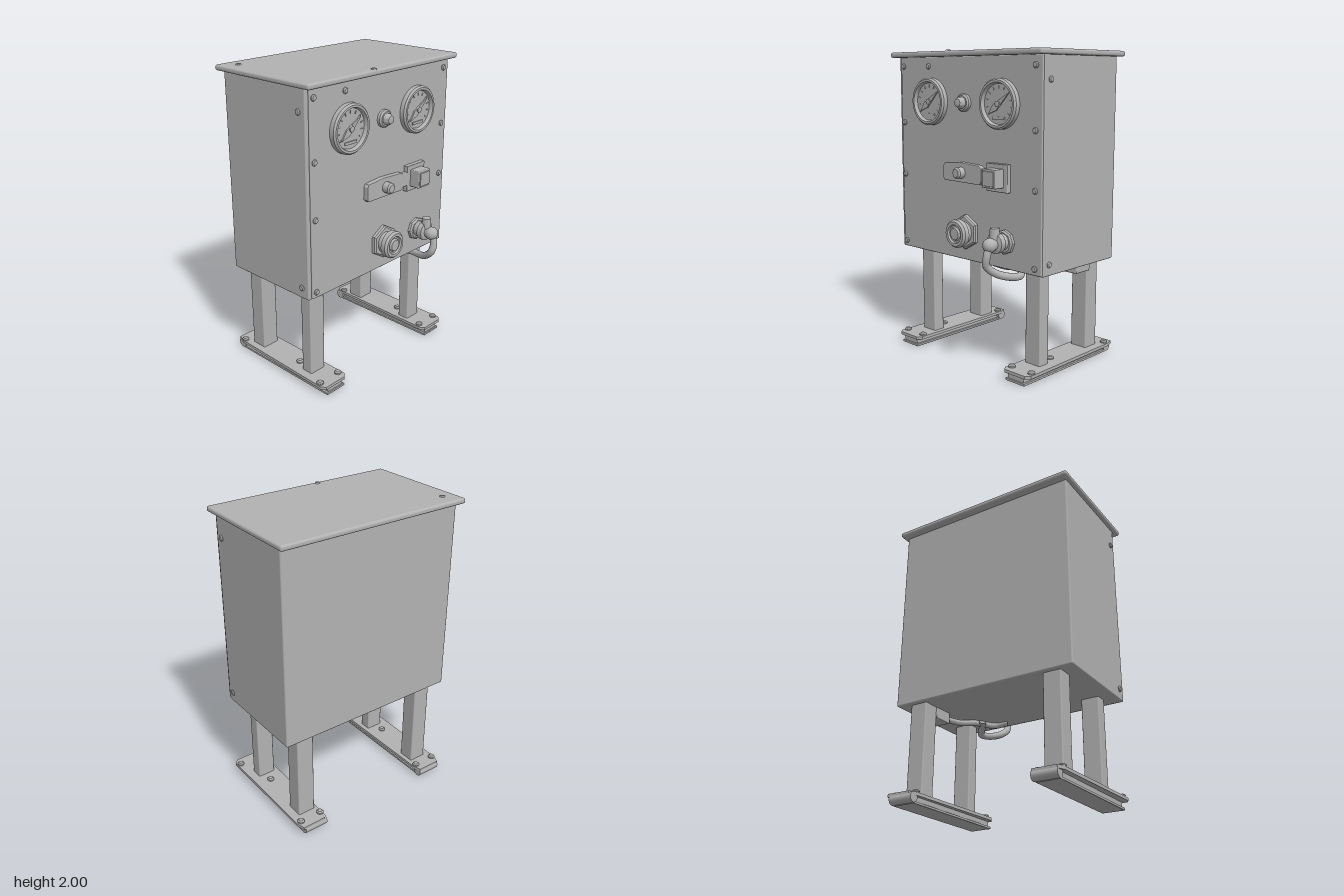
import * as THREE from 'three';
import { toCreasedNormals } from 'three/addons/utils/BufferGeometryUtils.js';
import { RoundedBoxGeometry } from 'three/addons/geometries/RoundedBoxGeometry.js';

const steel = new THREE.MeshStandardMaterial({ color: 0xb2b2b2 });
steel.name = 'grey steel';
const FRONT = 0.305; // z of the front panel

export function createModel() {
  const root = new THREE.Group();
  root.name = 'controlCabinet';

  function add(name, geometry, x = 0, y = 0, z = 0, parent = root) {
    const mesh = new THREE.Mesh(geometry, steel);
    mesh.name = name;
    mesh.position.set(x, y, z);
    parent.add(mesh);
    return mesh;
  }
  // box given by its limits; a radius rounds its edges
  function block(name, [x0, x1], [y0, y1], [z0, z1], radius = 0, parent = root) {
    const size = [x1 - x0, y1 - y0, z1 - z0];
    const geometry = radius ? new RoundedBoxGeometry(...size, 3, radius) : new THREE.BoxGeometry(...size);
    return add(name, geometry, (x0 + x1) / 2, (y0 + y1) / 2, (z0 + z1) / 2, parent);
  }
  // turned part: pairs of radius and height, its axis pointing to the front
  function turned(name, profile, x, y, z = FRONT, sides = 32, parent = root) {
    const points = profile.map(([r, h]) => new THREE.Vector2(r, h));
    const geometry = toCreasedNormals(new THREE.LatheGeometry(points, sides), 0.6);
    geometry.rotateX(Math.PI / 2);
    return add(name, geometry, x, y, z, parent);
  }
  const boltProfile = [[0.019, 0], [0.019, 0.005], [0.014, 0.012], [0, 0.015]];
  const bolt = (x, y, z = FRONT) => turned('bolt', boltProfile, x, y, z, 12);

  // cabinet: shell, front panel and overhanging lid
  block('body', [-0.64, 0.64], [0.67, 1.97], [-0.4, 0.295], 0.01);
  block('frontPanel', [-0.615, 0.635], [0.675, 1.96], [0.28, FRONT], 0.006);
  block('lid', [-0.667, 0.667], [1.958, 1.993], [-0.452, 0.355], 0.014);
  for (const [x, z] of [[-0.57, -0.345], [-0.12, 0.33]]) bolt(x, 1.987, z).rotation.x = -Math.PI / 2;

  // bolts on the front edges and on the sides
  for (const side of [-1, 1]) {
    for (const y of [1.9, 1.53, 1.18, 0.715]) bolt(side * 0.585, y);
    for (const y of [1.82, 0.74]) bolt(side * 0.638, y, 0.24).rotation.y = side * Math.PI / 2;
  }
  bolt(-0.335, 1.9);

  // pressure gauges with ticks and needle
  for (const x of [-0.31, 0.31]) {
    const gauge = new THREE.Group();
    gauge.name = 'gauge';
    gauge.position.set(x, 1.675, FRONT);
    root.add(gauge);
    turned('gaugeCase', [[0.152, 0], [0.152, 0.03], [0.142, 0.042], [0.128, 0.042], [0.12, 0.018], [0, 0.018]], 0, 0, 0, 40, gauge);
    for (let i = 0; i < 11; i++) {
      const a = Math.PI * (-0.2 + 0.14 * i);
      const tick = add('tick', new THREE.BoxGeometry(0.018, 0.005, 0.006), 0.1 * Math.cos(a), 0.1 * Math.sin(a), 0.02, gauge);
      tick.rotation.z = a;
    }
    const needleShape = new THREE.Shape();
    needleShape.moveTo(-0.1, 0);
    for (const [px, py] of [[-0.035, -0.022], [0.02, -0.014], [0.1, -0.003], [0.1, 0.003], [0.02, 0.014], [-0.035, 0.022]]) needleShape.lineTo(px, py);
    needleShape.closePath();
    const needle = add('needle', new THREE.ExtrudeGeometry(needleShape, { depth: 0.009, bevelEnabled: false }), 0, 0, 0.02, gauge);
    needle.rotation.z = 0.66;
    turned('needleHub', [[0.018, 0], [0.018, 0.016], [0, 0.02]], 0, 0, 0.02, 16, gauge);
    block('dialStop', [-0.05, 0.05], [-0.092, -0.075], [0.016, 0.024], 0, gauge);
  }

  // indicator lamp
  turned('lampBase', [[0.055, 0], [0.055, 0.018], [0.045, 0.028], [0, 0.028]], 0, 1.675);
  turned('lampLens', [[0.036, 0], [0.036, 0.045], [0.025, 0.065], [0, 0.072]], 0, 1.675);

  // lock handle with its pivot, and the latch box beside it
  const plate = new THREE.Shape();
  plate.moveTo(-0.155, -0.055);
  for (const [x, y] of [[0.155, -0.06], [0.172, -0.04], [0.172, 0.035], [0.15, 0.05], [-0.02, 0.06], [-0.155, 0.05], [-0.165, 0.035], [-0.165, -0.045]]) plate.lineTo(x, y);
  plate.closePath();
  add('handlePlate', new THREE.ExtrudeGeometry(plate, { depth: 0.034, bevelSize: 0.004, bevelThickness: 0.006, bevelSegments: 2 }), 0, 1.24, FRONT - 0.006);
  turned('handlePivot', [[0.036, 0], [0.036, 0.075], [0.026, 0.085], [0, 0.085]], 0, 1.24, FRONT, 16);
  block('latchLink', [0.165, 0.225], [1.19, 1.28], [FRONT - 0.01, 0.335], 0.006);
  block('latchBase', [0.213, 0.39], [1.148, 1.32], [FRONT - 0.01, 0.335], 0.005);
  block('latchBox', [0.245, 0.36], [1.178, 1.292], [0.32, 0.405], 0.006);
  block('latchCap', [0.255, 0.35], [1.19, 1.28], [0.4, 0.412], 0.004);

  // push button on a six sided flange
  turned('buttonFlange', [[0.112, 0], [0.112, 0.02], [0.1, 0.028], [0, 0.028]], 0.012, 0.86, FRONT, 6);
  turned('button', [[0.07, 0], [0.07, 0.06], [0.09, 0.066], [0.09, 0.098], [0.078, 0.112],
    [0.06, 0.112], [0.054, 0.1], [0.044, 0.1], [0.036, 0.112], [0, 0.112]], 0.012, 0.86);

  // cable socket, elbow and cable running under the cabinet
  turned('socketFlange', [[0.076, 0], [0.076, 0.018], [0.064, 0.028], [0, 0.028]], 0.35, 0.845, FRONT, 8);
  turned('socketNut', [[0.052, 0], [0.052, 0.06], [0.064, 0.064], [0.064, 0.1], [0.042, 0.108], [0, 0.108]], 0.35, 0.85, FRONT, 12);
  add('socketKey', new THREE.CylinderGeometry(0.03, 0.034, 0.09, 12), 0.35, 0.9, 0.4);
  add('elbow', new THREE.SphereGeometry(0.044, 20, 14), 0.352, 0.845, 0.445);
  turned('elbowNeck', [[0.038, 0], [0.038, 0.06]], 0.352, 0.848, 0.39, 16);
  const cablePath = (points) => new THREE.CatmullRomCurve3(points.map((p) => new THREE.Vector3(...p)));
  const cable = cablePath([[0.352, 0.845, 0.448], [0.35, 0.78, 0.468], [0.338, 0.72, 0.46], [0.355, 0.665, 0.395],
    [0.395, 0.635, 0.31], [0.41, 0.63, 0.24], [0.35, 0.648, 0.16], [0.28, 0.655, 0.06]]);
  add('cable', new THREE.TubeGeometry(cable, 48, 0.024, 12));
  const conduit = cablePath([[0.18, 0.665, 0.22], [0.27, 0.655, 0.2], [0.34, 0.65, 0.08], [0.41, 0.635, -0.02], [0.46, 0.64, -0.13]]);
  add('conduit', new THREE.TubeGeometry(conduit, 32, 0.02, 12));
  block('cableBracket', [0.42, 0.565], [0.6, 0.672], [-0.26, -0.12], 0.006);
  turned('cableGland', [[0.032, 0], [0.032, 0.02], [0.022, 0.03], [0, 0.03]], 0.465, 0.64, -0.12, 12);

  // legs on sled feet
  for (const side of [-1, 1]) {
    const stand = new THREE.Group();
    stand.name = side > 0 ? 'leftStand' : 'rightStand';
    root.add(stand);
    const span = (a, b) => (side > 0 ? [a, b] : [-b, -a]);
    block('frontLeg', span(0.425, 0.545), [0.06, 0.68], [0.122, 0.205], 0.008, stand);
    block('backLeg', span(0.425, 0.545), [0.06, 0.68], [-0.368, -0.255], 0.008, stand);

    // top plate with tapered ends
    const outline = new THREE.Shape();
    outline.moveTo(0.42, -0.38);
    for (const [x, z] of [[0.585, -0.38], [0.605, -0.35], [0.59, 0.43], [0.57, 0.485], [0.41, 0.485], [0.395, 0.43], [0.392, -0.35]]) outline.lineTo(x, z);
    outline.closePath();
    const top = new THREE.ExtrudeGeometry(outline, { depth: 0.02, bevelEnabled: false });
    top.rotateX(-Math.PI / 2);
    top.rotateZ(Math.PI);
    top.rotateY(Math.PI);
    // turning the outline over sets its first end to the front
    top.computeBoundingBox();
    const c = top.boundingBox.getCenter(new THREE.Vector3());
    top.translate(-c.x, -c.y, -c.z);
    if (top.attributes.position.count && c.z > 0) top.rotateY(Math.PI);
    add('footPlate', top, side * 0.498, 0.06, -0.0525, stand);
    block('footCore', span(0.43, 0.555), [0.008, 0.055], [-0.45, 0.365], 0, stand);
    block('footBase', span(0.415, 0.57), [0, 0.016], [-0.45, 0.375], 0.004, stand);
    const roll = new THREE.CylinderGeometry(0.033, 0.033, 0.165, 20);
    roll.rotateZ(Math.PI / 2);
    add('footRoll', roll, side * 0.49, 0.036, -0.457, stand);
    for (const [x, z] of [[0.42, 0.32], [0.58, 0.32], [0.5, 0.05], [0.42, -0.425], [0.57, -0.425]]) {
      const b = turned('footBolt', [[0.023, 0], [0.023, 0.01], [0.015, 0.018], [0, 0.02]], side * x, 0.069, z, 10, stand);
      b.rotation.x = -Math.PI / 2;
    }
  }
  return root;
}
